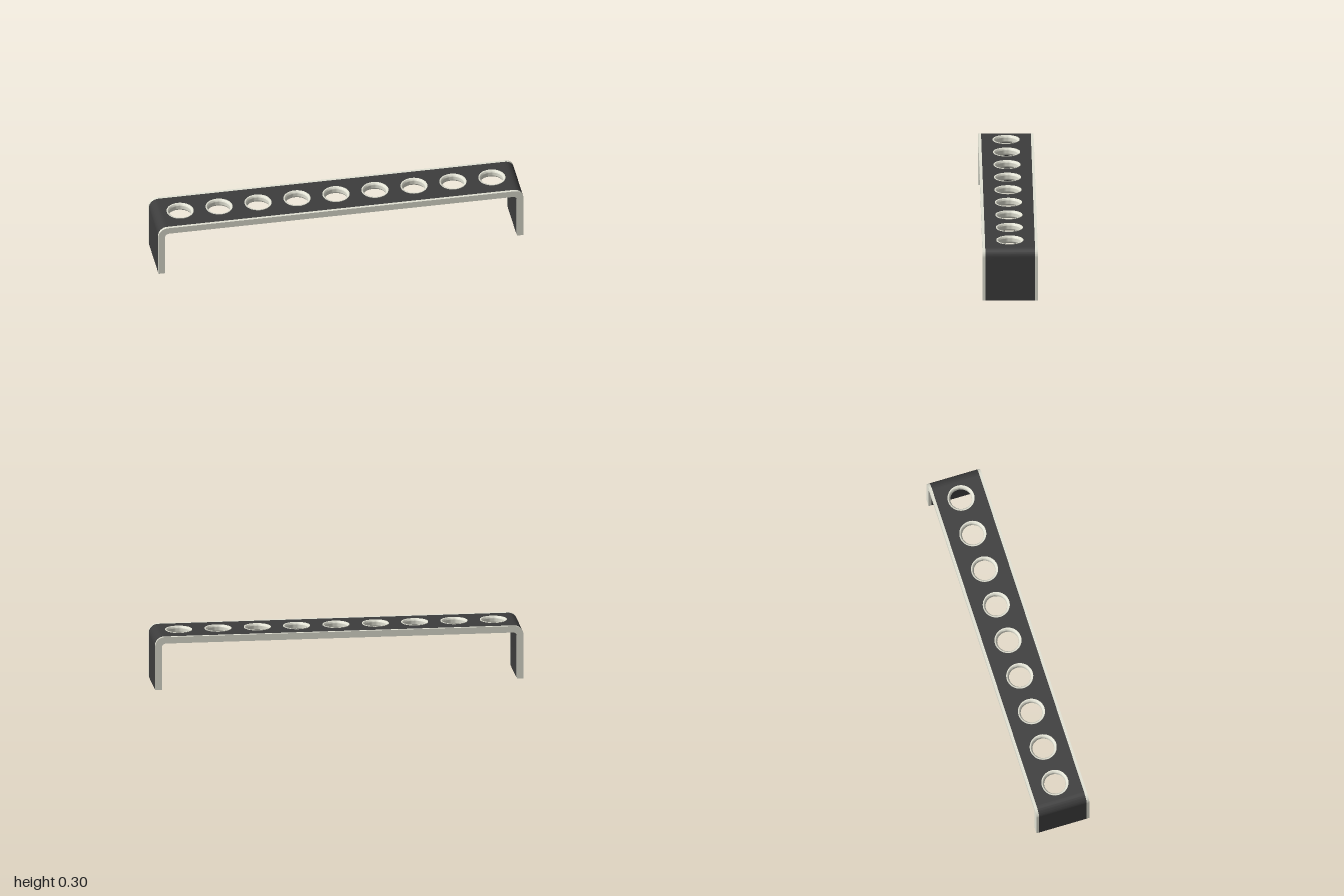
import * as THREE from 'three';
import { toCreasedNormals } from 'three/addons/utils/BufferGeometryUtils.js';

const TOP = 0.293, T = 0.036, RO = 0.05, RI = 0.022;
const BAND = 0.134, EDGE = 0.015; // half width of dark band, width of pale trim
const CUT = 0.935; // where the bent legs meet the flat top
const HOLES = 9, PITCH = 0.2136, RING = 0.073, BORE = 0.058;

const dark = new THREE.MeshStandardMaterial({ color: 0x3c3c3c });
const pale = new THREE.MeshStandardMaterial({ color: 0xe2e2d4 });

// Bent bracket profile on the +x side, starting at x = x0
function bentProfile(x0) {
  const s = new THREE.Shape();
  s.moveTo(x0, TOP - T);
  s.lineTo(1 - T - RI, TOP - T);
  s.absarc(1 - T - RI, TOP - T - RI, RI, Math.PI / 2, 0, true);
  s.lineTo(1 - T, 0);
  s.lineTo(1, 0);
  s.lineTo(1, TOP - RO);
  s.absarc(1 - RO, TOP - RO, RO, 0, Math.PI / 2, false);
  s.lineTo(x0, TOP);
  s.closePath();
  return s;
}

function extrude(shape, depth) {
  return toCreasedNormals(
    new THREE.ExtrudeGeometry(shape, { depth, bevelEnabled: false, curveSegments: 12 }), 0.6);
}

function createModel() {
  const model = new THREE.Group();
  const add = (name, geometry, material) => {
    const mesh = new THREE.Mesh(geometry, material);
    mesh.name = name;
    model.add(mesh);
    return mesh;
  };

  // Flat top with a row of round holes
  const plate = new THREE.Shape();
  plate.moveTo(-CUT, -BAND);
  plate.lineTo(CUT, -BAND);
  plate.lineTo(CUT, BAND);
  plate.lineTo(-CUT, BAND);
  plate.closePath();
  const xs = Array.from({ length: HOLES }, (_, i) => (i - (HOLES - 1) / 2) * PITCH);
  for (const x of xs) {
    const hole = new THREE.Path();
    hole.absarc(x, 0, RING - 0.001, 0, Math.PI * 2, true);
    plate.holes.push(hole);
  }
  const plateGeo = new THREE.ExtrudeGeometry(plate, { depth: T, bevelEnabled: false, curveSegments: 24 });
  plateGeo.rotateX(-Math.PI / 2);
  add('topPlate', plateGeo, dark).position.y = TOP - T;

  // Bent legs at both ends; the right one is the left one turned round
  const legGeo = extrude(bentProfile(CUT), BAND * 2).translate(0, 0, -BAND);
  add('leftLeg', legGeo, dark);
  add('rightLeg', legGeo, dark).rotation.y = Math.PI;

  // Pale trim along the front and back edges, each made of two halves
  const trimGeo = extrude(bentProfile(0), EDGE).translate(0, 0, BAND);
  const backGeo = trimGeo.clone().translate(0, 0, -2 * BAND - EDGE);
  add('frontTrimLeft', trimGeo, pale);
  add('backTrimLeft', backGeo, pale);
  add('frontTrimRight', backGeo, pale).rotation.y = Math.PI;
  add('backTrimRight', trimGeo, pale).rotation.y = Math.PI;

  // Hole liners with rounded lips that stand slightly proud of the plate
  const half = T / 2 + 0.003, lip = RING - 0.003 - BORE;
  const profile = [new THREE.Vector2(RING, -half)];
  for (let i = 0; i <= 16; i++) {
    const a = -Math.PI / 2 + (Math.PI * i) / 16;
    profile.push(new THREE.Vector2(BORE + lip * (1 - Math.cos(a)), Math.sin(a) * half));
  }
  profile.push(new THREE.Vector2(RING, half), new THREE.Vector2(RING, -half));
  // Reverse so that the faces point outward from the liner's solid
  const linerGeo = toCreasedNormals(new THREE.LatheGeometry(profile.reverse(), 48), 0.6);
  const linerMat = pale.clone();
  linerMat.side = THREE.DoubleSide;
  for (const x of xs) add('holeLiner', linerGeo, linerMat).position.set(x, TOP - T / 2, 0);

  return model;
}

export { createModel };
